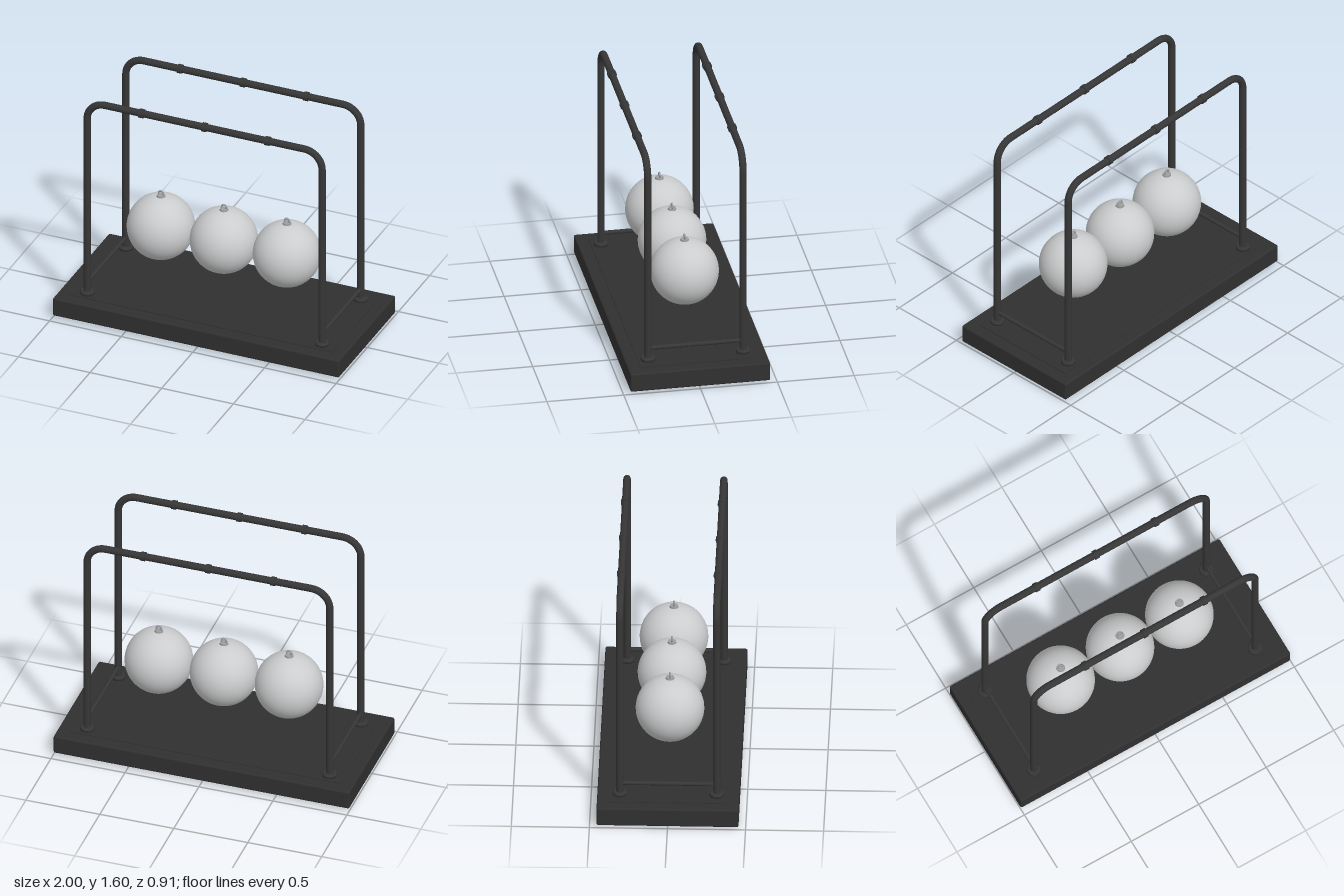
import * as THREE from 'three';
import { RoundedBoxGeometry } from 'three/addons/geometries/RoundedBoxGeometry.js';

export function createModel() {
  const model = new THREE.Group();
  model.name = 'swingingBallCradle';

  const material = (name, color) => {
    const m = new THREE.MeshStandardMaterial({ color });
    m.name = name;
    return m;
  };
  const black = material('blackBase', 0x303030);
  const frameBlack = material('charcoalFrame', 0x363636);
  const rubber = material('rubberFeet', 0x222222);
  const steel = material('polishedSteel', 0xcbcccd);
  const hookSteel = material('hookSteel', 0x9c9ea0);

  const add = (name, geometry, mat, x = 0, y = 0, z = 0, parent = model) => {
    const mesh = new THREE.Mesh(geometry, mat);
    mesh.name = name;
    mesh.position.set(x, y, z);
    parent.add(mesh);
    return mesh;
  };

  // Base slab with softened edges and a slightly raised panel
  add('base', new RoundedBoxGeometry(2, 0.128, 0.91, 3, 0.012), black, 0, 0.079, 0);
  add('basePanel', new THREE.BoxGeometry(1.84, 0.012, 0.75), black, 0, 0.142, 0);

  // Frame dimensions
  const postX = 0.82, railZ = 0.31, top = 1.565, bend = 0.125;
  const ballX = [-0.44, 0, 0.44];

  // Bent tube: two posts joined by rounded corners to a top rail
  const v = (x, y) => new THREE.Vector3(x, y, 0);
  const framePath = new THREE.CurvePath();
  framePath.add(new THREE.LineCurve3(v(-postX, 0.14), v(-postX, top - bend)));
  const k = bend * 0.4477;
  framePath.add(new THREE.CubicBezierCurve3(
    v(-postX, top - bend), v(-postX, top - k), v(-postX + k, top), v(-postX + bend, top)));
  framePath.add(new THREE.LineCurve3(v(-postX + bend, top), v(postX - bend, top)));
  framePath.add(new THREE.CubicBezierCurve3(
    v(postX - bend, top), v(postX - k, top), v(postX, top - k), v(postX, top - bend)));
  framePath.add(new THREE.LineCurve3(v(postX, top - bend), v(postX, 0.14)));
  const frameGeometry = new THREE.TubeGeometry(framePath, 240, 0.0235, 20, false);

  // Stepped collar where a post meets the base
  const collarProfile = [[0, 0.14], [0.046, 0.14], [0.046, 0.162], [0.046, 0.162],
    [0.039, 0.171], [0.039, 0.171], [0, 0.171]].map(([r, y]) => new THREE.Vector2(r, y));
  const collarGeometry = new THREE.LatheGeometry(collarProfile, 32);
  const footGeometry = new THREE.CylinderGeometry(0.056, 0.056, 0.02, 32);
  const bandGeometry = new THREE.CylinderGeometry(0.03, 0.03, 0.03, 24).rotateZ(Math.PI / 2);

  for (const side of [1, -1]) {
    const z = side * railZ;
    add(side > 0 ? 'frontFrame' : 'backFrame', frameGeometry, frameBlack, 0, 0, z);
    for (const x of ballX) add('railBand', bandGeometry, frameBlack, x, top, z);
    for (const end of [1, -1]) {
      add('postCollar', collarGeometry, frameBlack, end * postX, 0, z);
      add('foot', footGeometry, rubber, end * 0.86, 0.01, side * 0.343);
    }
  }

  // Low crossbars tying front and back posts together
  const crossbarGeometry = new THREE.CylinderGeometry(0.0135, 0.0135, railZ * 2, 16).rotateX(Math.PI / 2);
  for (const end of [1, -1]) {
    add(end > 0 ? 'leftCrossbar' : 'rightCrossbar', crossbarGeometry, frameBlack, end * postX, 0.23, 0);
  }

  // Steel balls, each with a cap and a ring on top
  const ballGeometry = new THREE.SphereGeometry(0.22, 48, 32);
  const capGeometry = new THREE.CylinderGeometry(0.026, 0.029, 0.016, 24);
  const ringGeometry = new THREE.TorusGeometry(0.0165, 0.0055, 10, 28);
  for (const x of ballX) {
    const pendulum = new THREE.Group();
    pendulum.name = 'hangingBall';
    pendulum.position.set(x, 0.568, 0);
    model.add(pendulum);
    add('ball', ballGeometry, steel, 0, 0, 0, pendulum);
    add('ballCap', capGeometry, hookSteel, 0, 0.222, 0, pendulum);
    add('ballRing', ringGeometry, hookSteel, 0, 0.241, 0, pendulum);
  }

  return model;
}
